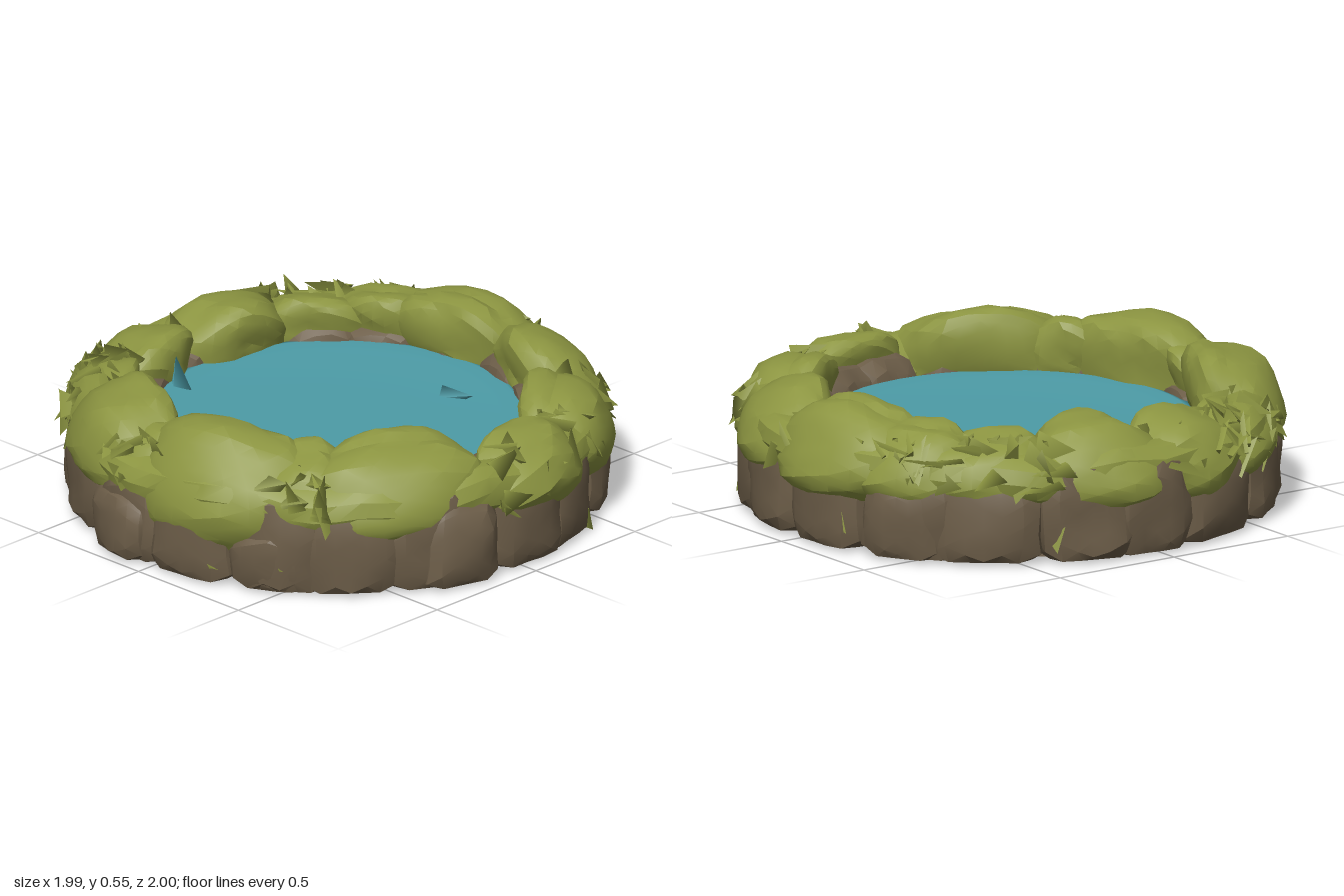
import * as THREE from 'three';
import { mergeVertices, mergeGeometries, toCreasedNormals } from 'three/addons/utils/BufferGeometryUtils.js';

const rad = THREE.MathUtils.degToRad;

function seeded(seed) {
  return () => {
    seed = (seed * 16807) % 2147483647;
    return seed / 2147483647;
  };
}

// Smooth bumpiness in roughly -1..1
function bump(x, y, z, s) {
  return (Math.sin(x * 9 + s * 1.7) * Math.cos(z * 10 - s) + Math.sin(y * 13 + x * 8 + s * 2.3)
    + Math.sin(z * 17 - y * 9 + s * 0.9) * 0.7) / 2.7;
}

// Rounded lump bent around the ring: angle, radius, half length, half width, middle, top and bottom heights;
// lean moves the crest toward the water and lifts the inner side
function lump({ deg, r, halfDeg, w, mid, top, bottom, power, rough, detail, crease, lean, seed }) {
  let geo = new THREE.IcosahedronGeometry(1, detail);
  geo.deleteAttribute('normal');
  geo.deleteAttribute('uv');
  geo = mergeVertices(geo, 1e-4);
  const pos = geo.attributes.position;
  const v = new THREE.Vector3();
  for (let i = 0; i < pos.count; i++) {
    v.fromBufferAttribute(pos, i);
    const len = (Math.abs(v.x) ** power + Math.abs(v.y) ** power + Math.abs(v.z) ** power) ** (1 / power);
    v.divideScalar(len);
    const n = 1 + rough * (bump(v.x * 0.4, v.y * 0.3, v.z * 0.3, seed) + 0.4 * bump(v.x, v.y, v.z, seed));
    const a = rad(deg + v.x * halfDeg * n);
    const radius = r + v.z * w * n - lean * Math.max(v.y, 0);
    const y = mid + v.y * (v.y > 0 ? top - mid : mid - bottom) * n + lean * Math.max(-v.z, 0);
    pos.setXYZ(i, Math.cos(a) * radius, Math.max(y, 0.005), Math.sin(a) * radius);
  }
  // The bend mirrors the shape, so flip every face
  const ix = geo.index;
  for (let i = 0; i < ix.count; i += 3) {
    const b = ix.getX(i + 1);
    ix.setX(i + 1, ix.getX(i + 2));
    ix.setX(i + 2, b);
  }
  return toCreasedNormals(geo, crease);
}

// Continuous moss band that joins the cushions, with a ragged lower edge
function mossBand() {
  const geo = new THREE.TorusGeometry(0.845, 0.115, 12, 72);
  geo.rotateX(-Math.PI / 2);
  const pos = geo.attributes.position;
  for (let i = 0; i < pos.count; i++) {
    const x = pos.getX(i), y = pos.getY(i), z = pos.getZ(i);
    const n = 1 + 0.022 * bump(x * 1.5, y, z * 1.5, 2);
    pos.setXYZ(i, x * n, 0.305 + y * 0.9 + 0.03 * bump(x, 0, z, 5), z * n);
  }
  return toCreasedNormals(geo, 0.5);
}

// Thin three-sided leaf pointing along a direction
function shard(x, y, z, dir, width, length) {
  const geo = new THREE.ConeGeometry(width, length, 3);
  geo.scale(1, 1, 0.4);
  const q = new THREE.Quaternion().setFromUnitVectors(new THREE.Vector3(0, 1, 0), dir.normalize());
  geo.applyQuaternion(q);
  geo.translate(x, y, z);
  return geo.toNonIndexed();
}

export function createModel() {
  const group = new THREE.Group();
  const material = (name, color) => new THREE.MeshStandardMaterial({ name, color });
  const moss = material('moss green', 0x8c9541);
  const rock = material('rock brown', 0x6c5d48);
  const water = material('water blue', 0x4d9ca7);
  const add = (name, geo, mat) => {
    const mesh = new THREE.Mesh(geo, mat);
    mesh.name = name;
    group.add(mesh);
  };

  // Solid floor below the water
  add('pondFloor', new THREE.CylinderGeometry(0.84, 0.86, 0.12, 40).translate(0, 0.065, 0), rock);

  // Ring of boulders
  const rnd = seeded(41);
  for (let i = 0; i < 18; i++) {
    add('boulder', lump({
      deg: i * 20 + (rnd() - 0.5) * 6, r: 0.805, halfDeg: 11.5 + rnd() * 2.5,
      w: 0.158 + rnd() * 0.01, mid: 0.14, top: 0.35 + rnd() * 0.03, bottom: -0.06,
      power: 3.8, rough: 0.08, detail: 3, crease: 0.45, lean: 0, seed: i * 2.1,
    }), rock);
  }

  // Lower boulders standing out from the ring: angle, outer reach, top
  for (const [deg, reach, top] of [[17, 1, 0.33], [100, 1, 0.25], [-120, 0.99, 0.3], [60, 0.97, 0.24]]) {
    add('outerBoulder', lump({
      deg, r: reach - 0.13, halfDeg: 10, w: 0.13, mid: 0.13, top, bottom: -0.06,
      power: 3.2, rough: 0.08, detail: 3, crease: 0.45, lean: 0, seed: deg,
    }), rock);
  }

  // Moss cushions: angle, radius, half length, half width, top, bottom
  add('mossBand', mossBand(), moss);
  const cushions = [
    [-99, 0.825, 22, 0.175, 0.5, 0.15], [-69, 0.83, 18, 0.16, 0.48, 0.16],
    [-38, 0.84, 19, 0.16, 0.46, 0.13], [-8, 0.865, 17, 0.13, 0.45, 0.17],
    [30, 0.805, 25, 0.175, 0.51, 0.15], [76, 0.8, 26, 0.175, 0.53, 0.08],
    [52, 0.8, 14, 0.16, 0.47, 0.2], [97, 0.81, 12, 0.14, 0.46, 0.2],
    [116, 0.825, 21, 0.17, 0.52, 0.18], [146, 0.86, 16, 0.125, 0.42, 0.16],
    [166, 0.82, 15, 0.165, 0.45, 0.13], [193, 0.795, 19, 0.19, 0.47, 0.15],
    [220, 0.825, 17, 0.15, 0.43, 0.15], [240, 0.835, 16, 0.15, 0.46, 0.16],
  ];
  cushions.forEach(([deg, r, halfDeg, w, top, bottom], i) => add('mossCushion', lump({
    deg, r, halfDeg, w, mid: 0.28, top, bottom, power: 2.3, rough: 0.1, detail: 4, crease: 0.45,
    lean: 0.055, seed: i * 3.3 + 1,
  }), moss));

  // Ragged tufts: angle, spread, count
  const tufts = [
    [146, 14, 24], [222, 18, 30], [168, 12, 9], [-22, 10, 9], [-50, 10, 9],
    [54, 8, 12], [98, 8, 10], [118, 14, 8], [0, 8, 7], [-84, 6, 4], [252, 12, 8],
  ];
  const leaves = [];
  for (const [deg, spread, count] of tufts) {
    for (let i = 0; i < count; i++) {
      const a = rad(deg + (rnd() * 2 - 1) * spread);
      const t = rad(-10 + rnd() * 140);
      const radius = 0.835 + Math.cos(t) * 0.125;
      const y = 0.28 + Math.sin(t) * 0.135;
      // Mostly flat along the surface, lifting a little outward
      const turn = rnd() * Math.PI * 2;
      const side = Math.cos(turn);
      const out = Math.cos(t) * 0.5 - Math.sin(t) * Math.sin(turn);
      const up = Math.sin(t) * 0.35 + Math.cos(t) * Math.sin(turn);
      const dir = new THREE.Vector3(
        Math.cos(a) * out - Math.sin(a) * side, up, Math.sin(a) * out + Math.cos(a) * side);
      leaves.push(shard(Math.cos(a) * radius, y, Math.sin(a) * radius, dir, 0.06 + rnd() * 0.03, 0.1 + rnd() * 0.06));
    }
  }
  // Loose clumps hanging low on the boulders
  for (const [deg, y] of [[73, 0.06], [57, 0.08], [-24, 0.05], [-52, 0.07], [205, 0.1], [255, 0.12]]) {
    const a = rad(deg);
    leaves.push(shard(Math.cos(a) * 0.95, y, Math.sin(a) * 0.95,
      new THREE.Vector3(Math.cos(a) * 0.4, 0.6, Math.sin(a) * 0.4 + 0.3), 0.05, 0.09));
  }
  add('mossTufts', mergeGeometries(leaves), moss);

  // Water with a slightly raised rim
  const profile = [[0.69, 0.24], [0.69, 0.29], [0.65, 0.302], [0.58, 0.294], [0.3, 0.288], [0, 0.288]]
    .map(([x, y]) => new THREE.Vector2(x, y));
  add('water', new THREE.LatheGeometry(profile, 48).translate(-0.005, 0, -0.01), water);

  // Small splashes
  const splashes = [
    shard(-0.6, 0.33, 0.2, new THREE.Vector3(-0.4, 1, -0.3), 0.07, 0.14),
    shard(0.19, 0.295, -0.42, new THREE.Vector3(1, 0.25, -0.3), 0.05, 0.13),
    shard(-0.18, 0.285, 0.53, new THREE.Vector3(1, 0.1, 0.1), 0.03, 0.08),
  ];
  add('splashes', mergeGeometries(splashes), water);

  return group;
}
